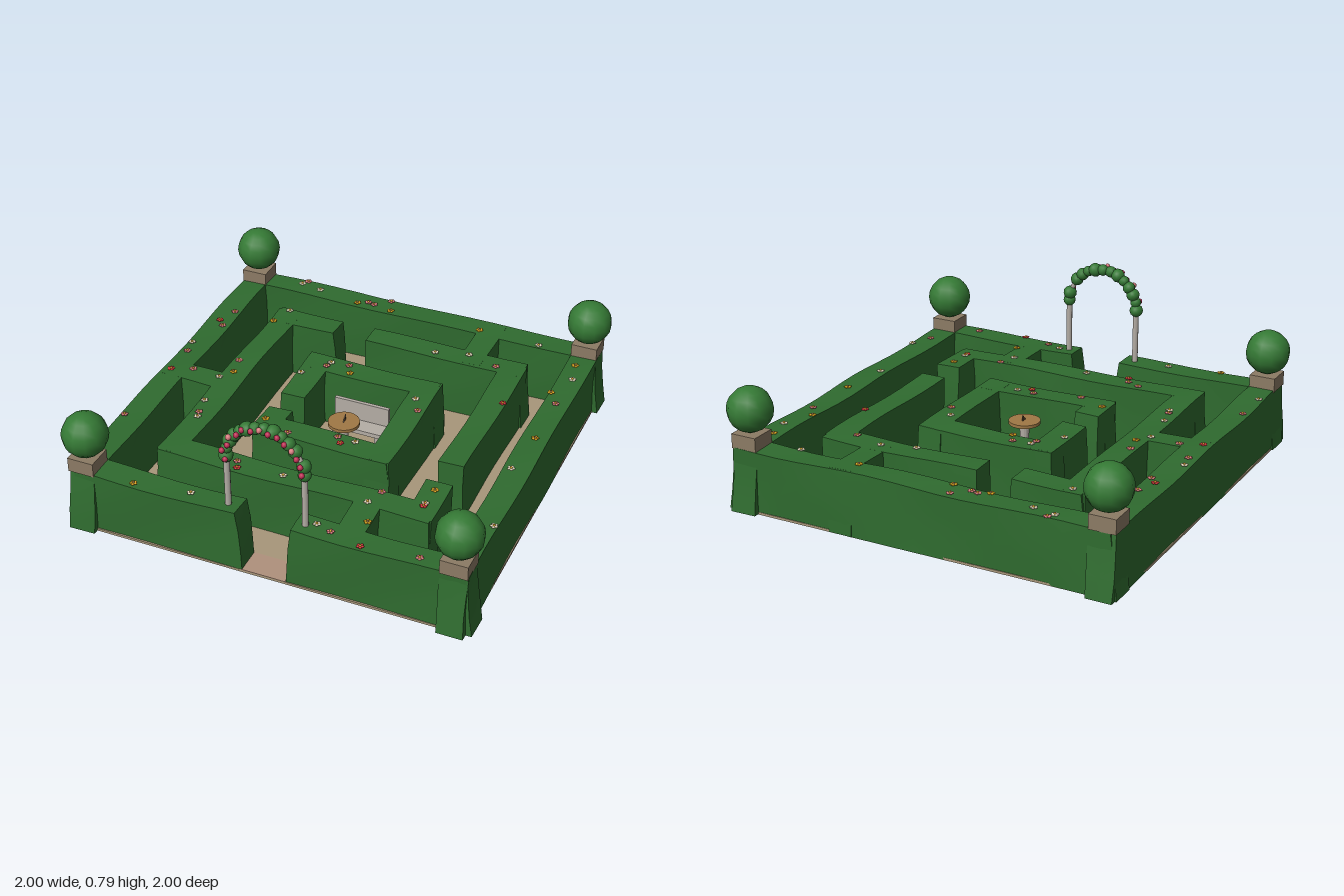
import * as THREE from 'three';

const mat = (color) => new THREE.MeshStandardMaterial({ color, roughness: 0.9 });
const M = {
  hedge: mat(0x2f6b2f), topiary: mat(0x357a35), ground: mat(0xa8977a), sill: mat(0xb0917d), plinth: mat(0x8c7b65),
  stone: mat(0xb5aea6), bronze: mat(0xa07845), dark: mat(0x5a4630), pebble: mat(0x8f836c),
  red: mat(0xd83a3f), pink: mat(0xdb7d80), white: mat(0xe8dcc0), yellow: mat(0xdca520), rose: mat(0xc02f55),
};
const H = 0.308;

function add(parent, name, geometry, material, x = 0, y = 0, z = 0) {
  const mesh = new THREE.Mesh(geometry, material);
  mesh.name = name;
  mesh.position.set(x, y, z);
  parent.add(mesh);
  return mesh;
}
const box = (parent, name, m, w, h, d, x, y, z) => add(parent, name, new THREE.BoxGeometry(w, h, d), m, x, y, z);

// A clipped hedge between two corners: ends spread at the foot, faces gently uneven
function hedge(parent, name, x0, x1, z0, z1, flare = 0.008) {
  const w = x1 - x0, d = z1 - z0;
  const g = new THREE.BoxGeometry(w, H, d, Math.ceil(w / 0.12), 3, Math.ceil(d / 0.12));
  g.translate((x0 + x1) / 2, H / 2, (z0 + z1) / 2);
  const p = g.attributes.position;
  for (let i = 0; i < p.count; i++) {
    const x = p.getX(i), y = p.getY(i), z = p.getZ(i), t = y / H;
    const along = w > d ? (x - x0) / w : (z - z0) / d;
    const end = along < 0.001 ? -1 : along > 0.999 ? 1 : 0;
    const push = end * flare * (1 - 2 * t);
    const n = 0.004 * Math.sin(x * 9 + y * 14 + z * 7);
    p.setXYZ(i,
      x + n + (w > d ? push : 0),
      t < 0.01 ? 0.002 : y + t * 0.005 * Math.sin(x * 7 + z * 8 + 1),
      z + 0.004 * Math.sin(z * 9 - y * 12 + x * 6) + (w > d ? 0 : push));
  }
  g.computeVertexNormals();
  add(parent, name, g, M.hedge);
}

// Five petals around a yellow eye
function flower(parent, material, x, z, i) {
  const f = new THREE.Group();
  f.name = 'flower';
  for (let k = 0; k < 5; k++) {
    const a = (k / 5) * Math.PI * 2 + i;
    add(f, 'petal', new THREE.SphereGeometry(0.0085, 6, 4), material, Math.cos(a) * 0.011, 0, Math.sin(a) * 0.011).scale.y = 0.4;
  }
  add(f, 'flowerEye', new THREE.SphereGeometry(0.006, 6, 4), material === M.yellow ? M.bronze : M.yellow, 0, 0.003, 0);
  f.position.set(x, H + 0.007, z);
  parent.add(f);
}

function gateArch() {
  const g = new THREE.Group();
  g.name = 'gateArch';
  const R = 0.185, base = 0.57;
  for (const s of [-1, 1]) add(g, 'archPost', new THREE.CylinderGeometry(0.015, 0.015, base, 8), M.stone, s * R, base / 2, 0);
  add(g, 'archHoop', new THREE.TorusGeometry(R, 0.012, 6, 20, Math.PI), M.stone, 0, base, 0);
  // Climbing foliage and roses along the hoop
  for (let i = 0; i < 15; i++) {
    const a = (i / 14) * Math.PI, x = Math.cos(a) * R, y = base + Math.sin(a) * R;
    if (i !== 2) {
      const leaf = add(g, 'archFoliage', new THREE.IcosahedronGeometry(0.031 + 0.004 * Math.sin(i * 2.3), 1), M.topiary, x, y + 0.008, 0.004 * Math.sin(i * 5));
      leaf.rotation.set(i, i * 2, 0);
    }
    const r = R + 0.016 * Math.sin(i * 3.1);
    add(g, 'archRose', new THREE.SphereGeometry(0.014, 7, 5), i % 4 === 3 ? M.pink : M.rose,
      Math.cos(a + 0.05) * r, base + 0.015 + Math.sin(a + 0.05) * r, 0.031);
  }
  g.position.z = 0.89;
  return g;
}

function sundial() {
  const g = new THREE.Group();
  g.name = 'sundial';
  const profile = [[0, 0.01], [0.1, 0.01], [0.1, 0.03], [0.085, 0.03], [0.085, 0.05], [0.04, 0.05],
    [0.024, 0.075], [0.02, 0.15], [0.024, 0.22], [0.045, 0.243], [0, 0.243]];
  const pts = profile.map(([x, y]) => new THREE.Vector2(x, y));
  const pedestal = new THREE.LatheGeometry(pts, 16).toNonIndexed();
  pedestal.computeVertexNormals();
  add(g, 'sundialPedestal', pedestal, M.stone);
  add(g, 'sundialPlate', new THREE.CylinderGeometry(0.076, 0.076, 0.016, 20), M.bronze, 0, 0.25, 0);
  const fin = new THREE.Shape([[-0.012, 0], [0.016, 0], [0.016, 0.03]].map(([x, y]) => new THREE.Vector2(x, y)));
  const gnomon = add(g, 'sundialGnomon', new THREE.ExtrudeGeometry(fin, { depth: 0.004, bevelEnabled: false }), M.dark, 0, 0.258, 0);
  gnomon.rotation.y = Math.PI / 2;
  g.position.z = 0.053;
  return g;
}

function bench() {
  const g = new THREE.Group();
  g.name = 'bench';
  box(g, 'benchSeat', M.stone, 0.28, 0.022, 0.1, 0, 0.11, -0.13);
  box(g, 'benchBack', M.stone, 0.28, 0.1, 0.018, 0, 0.17, -0.17);
  for (const s of [-1, 1]) box(g, 'benchLeg', M.stone, 0.03, 0.09, 0.085, s * 0.11, 0.055, -0.13);
  return g;
}

export function createModel() {
  const model = new THREE.Group();
  model.name = 'hedgeMaze';
  box(model, 'ground', M.ground, 1.91, 0.012, 1.91, 0, 0.006, 0);
  box(model, 'gateSill', M.sill, 0.22, 0.004, 0.13, 0, 0.012, 0.89);

  // Outer walls
  hedge(model, 'outerBackHedge', -0.945, 0.965, -0.955, -0.83, 0.015);
  hedge(model, 'outerFrontLeftHedge', 0.125, 0.965, 0.825, 0.95, 0.016);
  hedge(model, 'outerFrontRightHedge', -0.945, -0.112, 0.825, 0.95, 0.016);
  hedge(model, 'outerRightHedge', -0.953, -0.827, -0.965, 0.965, 0.02);
  hedge(model, 'outerLeftHedge', 0.827, 0.953, -0.965, 0.965, 0.02);
  // Middle ring
  hedge(model, 'middleBackHedge', -0.665, -0.31, -0.673, -0.55);
  hedge(model, 'middleBackHedge', -0.15, 0.67, -0.673, -0.55);
  hedge(model, 'middleRightHedge', -0.667, -0.545, -0.665, 0.665);
  hedge(model, 'middleLeftHedge', 0.547, 0.669, -0.645, 0.24);
  hedge(model, 'middleLeftHedge', 0.547, 0.669, 0.375, 0.655);
  hedge(model, 'middleFrontHedge', -0.67, 0.67, 0.543, 0.665);
  // Inner ring
  hedge(model, 'innerBackHedge', -0.352, 0.345, -0.35, -0.227);
  hedge(model, 'innerLeftHedge', 0.224, 0.346, -0.36, 0.345);
  hedge(model, 'innerRightHedge', -0.345, -0.222, -0.345, 0.022);
  hedge(model, 'innerRightHedge', -0.345, -0.222, 0.132, 0.335);
  hedge(model, 'innerFrontHedge', -0.345, 0.345, 0.218, 0.343);
  // Cross walls
  hedge(model, 'crossHedge', 0.328, 0.45, -0.95, -0.56);
  hedge(model, 'crossHedge', 0.313, 0.435, 0.56, 0.94);
  hedge(model, 'crossHedge', -0.94, -0.56, -0.013, 0.108);

  // Corner plinths with clipped balls
  for (const x of [-0.89, 0.89]) for (const z of [-0.892, 0.89]) {
    box(model, 'cornerPlinth', M.plinth, 0.128, 0.07, 0.128, x, 0.338, z);
    add(model, 'cornerTopiary', new THREE.SphereGeometry(0.108, 12, 10), M.topiary, x, 0.482, z);
  }

  model.add(gateArch(), sundial(), bench());

  // Flowers on the hedge tops, as x, z pairs
  const flowers = {
    red: [-0.89, -0.43, -0.91, 0.055, 0.66, -0.305, 0.085, 0.29, -0.265, 0.645, 0.46, 0.935, 0.605, 0.57],
    pink: [-0.165, -0.935, -0.27, -0.88, -0.235, -0.872, -0.635, -0.945, -0.855, -0.53, -0.855, -0.39, -0.91, -0.115,
      -0.81, 0.015, -0.64, -0.14, -0.13, -0.31, -0.23, -0.265, 0.315, -0.09, 0.525, -0.585, 0.89, -0.4, 0.055, 0.25,
      -0.17, 0.31, -0.93, 0.48, -0.62, 0.325, -0.35, 0.57, -0.285, 0.6, 0.4, 0.55, 0.89, 0.69, 0.72, 0.905, 0.305, 0.895],
    white: [-0.655, -0.915, -0.545, -0.895, 0.655, -0.845, -0.605, -0.65, 0.21, -0.585, 0.37, -0.63, 0.9, -0.625,
      -0.22, -0.3, -0.32, -0.165, 0.27, -0.175, -0.925, -0.195, -0.665, 0.025, -0.64, 0.23, -0.61, 0.36, 0.145, 0.255,
      0.865, 0.16, -0.05, 0.615, 0.37, 0.64, 0.605, 0.55, 0.935, 0.58, -0.93, 0.685, -0.37, 0.89, 0.23, 0.87],
    yellow: [-0.32, -0.855, -0.135, -0.85, 0.34, -0.86, 0.875, -0.745, -0.64, -0.53, 0.84, -0.48, -0.1, -0.25,
      -0.62, -0.04, 0.89, -0.1, -0.31, 0.25, 0.61, 0.445, 0.425, 0.77, -0.635, 0.93],
  };
  for (const [color, at] of Object.entries(flowers))
    for (let i = 0; i < at.length; i += 2) flower(model, M[color], at[i], at[i + 1], i);

  // Loose pebbles on the paths
  const pebbles = [[0.02, -0.82], [0.78, -0.77], [-0.135, -0.52], [0.525, 0.055], [-0.375, 0.525], [-0.64, 0.76]];
  pebbles.forEach(([x, z], i) => {
    const stone = add(model, 'pebble', new THREE.DodecahedronGeometry(0.02), M.pebble, x, 0.017, z);
    stone.scale.y = 0.6;
    stone.rotation.y = i;
  });
  return model;
}
